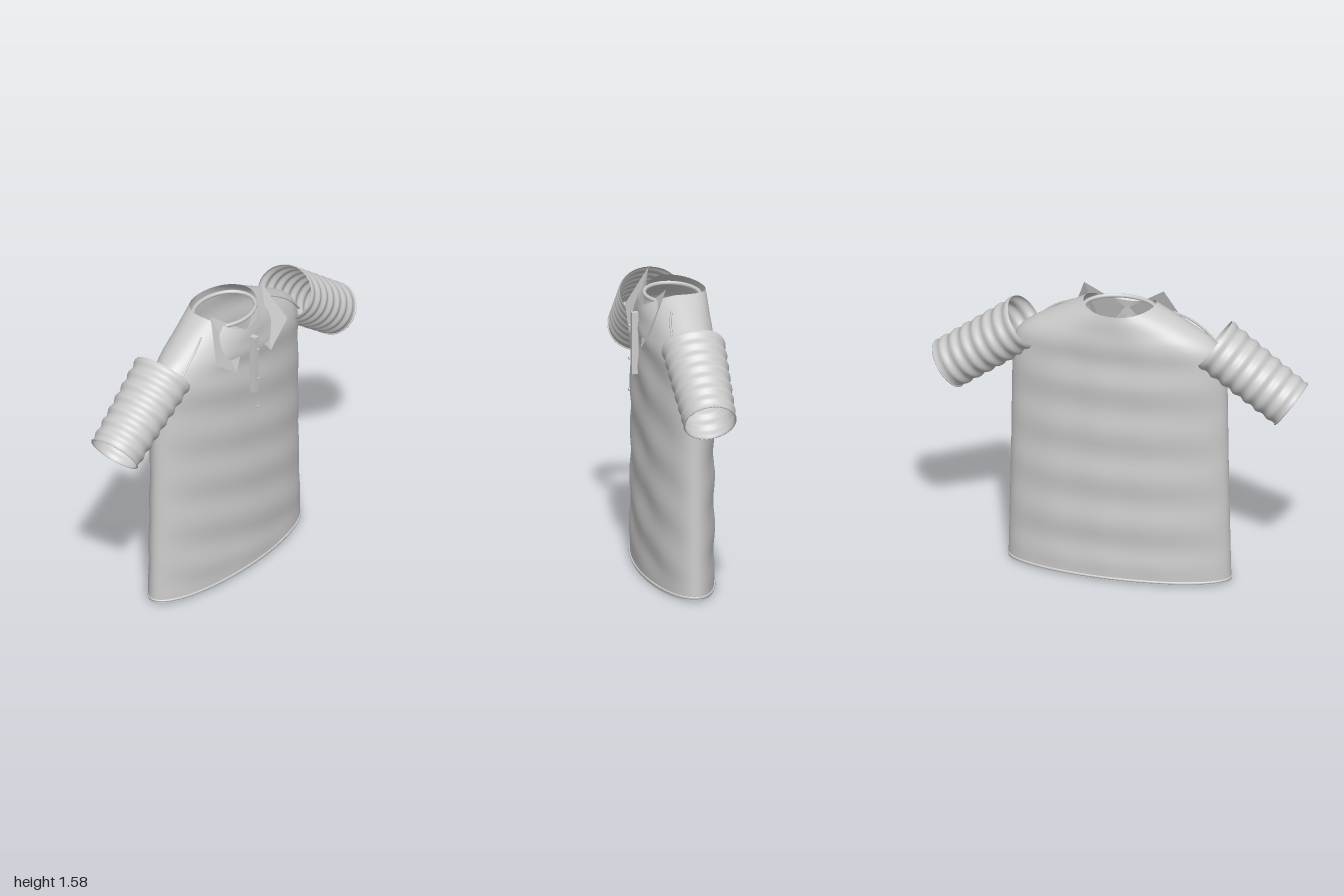
import * as THREE from 'three';

const grey = new THREE.MeshStandardMaterial({ color: 0xcccccc, side: THREE.DoubleSide });
const CZ = -0.018; // centre of the garment in z

// Surface from a function f(u, v) -> [x, y, z]; u runs around, v along
function surface(f, nu, nv) {
  const g = new THREE.PlaneGeometry(1, 1, nu, nv);
  const p = g.attributes.position, uv = g.attributes.uv;
  for (let i = 0; i < p.count; i++) p.setXYZ(i, ...f(uv.getX(i), uv.getY(i)));
  g.computeVertexNormals();
  // weld the shading across the closing seam
  const n = g.attributes.normal;
  for (let r = 0; r <= nv; r++) {
    const a = r * (nu + 1), b = a + nu;
    const v = new THREE.Vector3().fromBufferAttribute(n, a)
      .add(new THREE.Vector3().fromBufferAttribute(n, b)).normalize();
    n.setXYZ(a, v.x, v.y, v.z);
    n.setXYZ(b, v.x, v.y, v.z);
  }
  return g;
}

function add(parent, name, geometry) {
  const m = new THREE.Mesh(geometry, grey);
  m.name = name;
  parent.add(m);
  return m;
}

// Elliptical ring lying flat
function ring(rx, rz, y, tube) {
  const pts = [];
  for (let i = 0; i < 48; i++) {
    const a = (i / 48) * Math.PI * 2;
    pts.push(new THREE.Vector3(rx * Math.cos(a), y, CZ + rz * Math.sin(a)));
  }
  return new THREE.TubeGeometry(new THREE.CatmullRomCurve3(pts, true), 96, tube, 8, true);
}

// Body: elliptical rows of [height, half width, half depth], with soft folds
function bodyGeometry() {
  const rows = [
    [0, 0.595, 0.18], [0.3, 0.588, 0.18], [0.7, 0.58, 0.18], [1.1, 0.574, 0.181],
    [1.24, 0.568, 0.181], [1.31, 0.545, 0.181], [1.37, 0.485, 0.181],
    [1.43, 0.385, 0.18], [1.49, 0.275, 0.178], [1.535, 0.19, 0.172],
  ];
  const curve = new THREE.CatmullRomCurve3(rows.map(r => new THREE.Vector3(...r)), false, 'centripetal');
  return surface((u, v) => {
    const a = -u * Math.PI * 2;
    const { x: y, y: w, z: d } = curve.getPoint(v);
    const c = Math.cos(a), s = Math.sin(a);
    const top = THREE.MathUtils.smoothstep(y, 1.2, 1.535);
    const drop = top * s * s * (s > 0 ? 0.085 : 0.02);
    const calm = THREE.MathUtils.smoothstep(y, 0, 0.15) * (1 - top);
    const fold = calm * 0.006 * (s > 0
      ? Math.sin(y * 24 + c * 4) + 0.4 * Math.sin(c * 9 + y * 5)
      : Math.sin(y * 24) + 0.4 * Math.sin(c * 14));
    return [w * c, y - drop, CZ + (d + fold) * s];
  }, 96, 90);
}

// Sleeve: ribbed open tube from the shoulder to the cuff
function addSleeve(parent, side) {
  const g = new THREE.Group();
  g.name = side > 0 ? 'leftSleeve' : 'rightSleeve';
  const start = new THREE.Vector2(0.508, 1.35), end = new THREE.Vector2(0.92, 1.052);
  const dir = end.clone().sub(start).normalize();
  const point = (a, t, grow = 0) => {
    const rib = 0.005 * Math.sin(t * Math.PI * 14) * Math.min(1, (1 - t) * 10);
    const r = THREE.MathUtils.lerp(0.139, 0.134, t) + rib + grow;
    const rz = THREE.MathUtils.lerp(0.164, 0.135, t) + rib + grow;
    const k = r * Math.cos(a);
    return [
      side * (start.x + (end.x - start.x) * t - dir.y * k),
      start.y + (end.y - start.y) * t + dir.x * k,
      CZ + rz * Math.sin(a),
    ];
  };
  add(g, 'sleeveTube', surface((u, v) => point(side * u * Math.PI * 2, v), 48, 84));
  const rim = [];
  for (let i = 0; i < 32; i++) rim.push(new THREE.Vector3(...point((i / 32) * Math.PI * 2, 0.99)));
  add(g, 'cuffRim', new THREE.TubeGeometry(new THREE.CatmullRomCurve3(rim, true), 64, 0.005, 6, true));
  parent.add(g);
}

// Collar wing: a flat four-cornered flap
function addCollarWing(parent, side) {
  const corners = [
    [0.213, 1.575, 0.06], [0.297, 1.36, 0.165], [0.143, 1.247, 0.178], [0.01, 1.425, 0.13],
  ];
  const g = new THREE.BufferGeometry();
  g.setAttribute('position', new THREE.Float32BufferAttribute(
    corners.flatMap(([x, y, z]) => [side * x, y, z]), 3));
  g.setIndex(side > 0 ? [0, 2, 1, 0, 3, 2] : [0, 1, 2, 0, 2, 3]);
  const flat = g.toNonIndexed();
  flat.computeVertexNormals();
  add(parent, side > 0 ? 'leftCollarWing' : 'rightCollarWing', flat);
}

export function createModel() {
  const shirt = new THREE.Group();
  shirt.name = 'shirt';

  add(shirt, 'body', bodyGeometry());
  add(shirt, 'hem', ring(0.593, 0.18, 0.016, 0.007));
  add(shirt, 'neckBand', ring(0.19, 0.142, 1.49, 0.011));

  for (const side of [1, -1]) {
    addSleeve(shirt, side);
    addCollarWing(shirt, side);
    // Shoulder seam
    const seam = new THREE.CatmullRomCurve3([
      [0.27, 1.472, 0.045], [0.36, 1.425, 0.068], [0.45, 1.355, 0.075], [0.53, 1.27, 0.06],
    ].map(([x, y, z]) => new THREE.Vector3(side * x, y, z)));
    add(shirt, 'shoulderSeam', new THREE.TubeGeometry(seam, 24, 0.006, 6));
  }

  // Front placket and its buttons
  add(shirt, 'placket', new THREE.BoxGeometry(0.03, 0.33, 0.035)).position.set(0, 1.235, 0.18);
  for (const y of [1.33, 1.155, 0.985]) {
    const button = add(shirt, 'button', new THREE.CylinderGeometry(0.008, 0.008, 0.006, 16));
    button.rotation.x = Math.PI / 2;
    button.position.set(0, y, 0.209);
  }
  return shirt;
}
